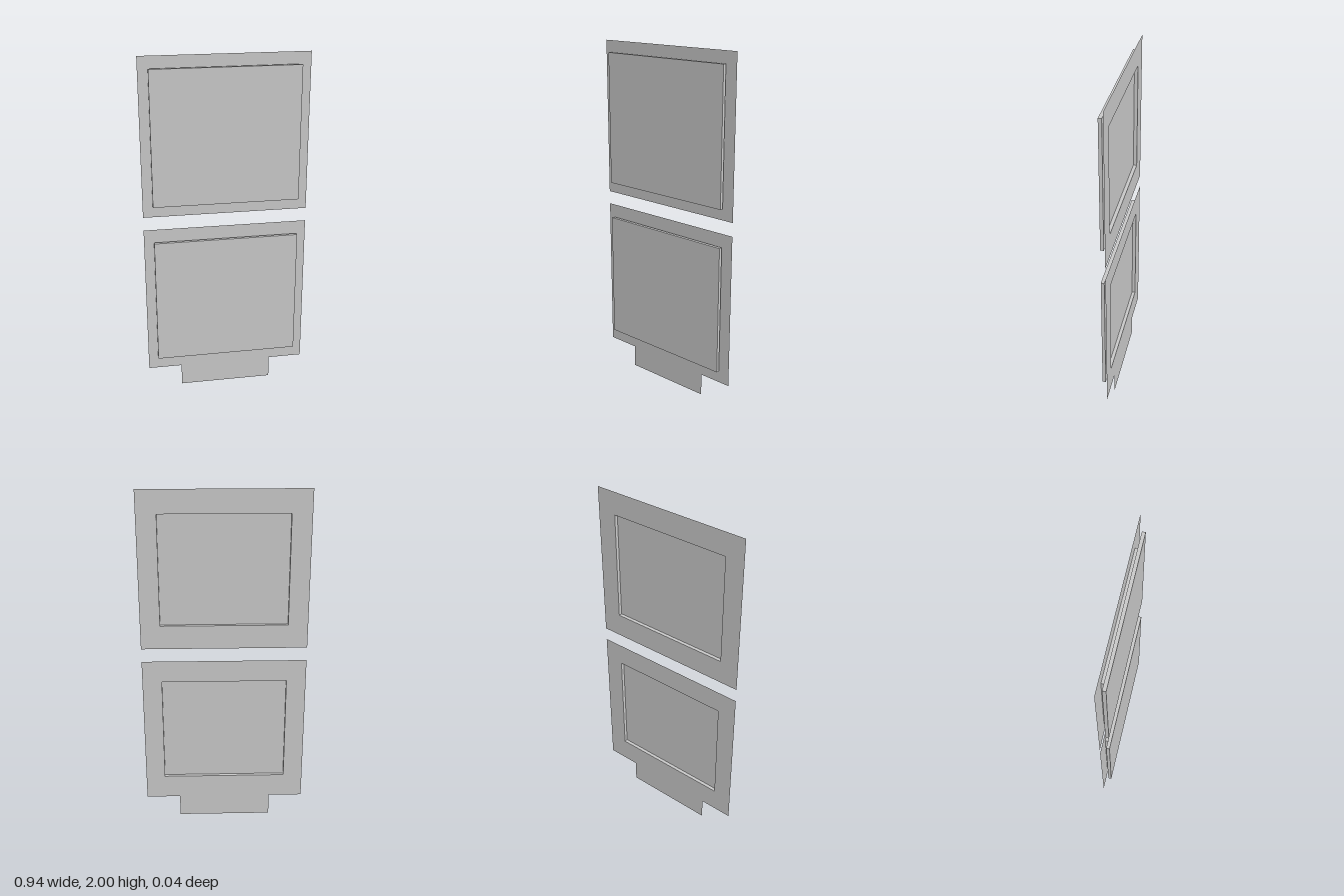
import * as THREE from 'three';

const BACK = -0.02, MID = 0, FRONT = 0.019;

// Closed rectangle outline, centred on x = 0
function rectPath(PathType, halfWidth, y0, y1) {
  const path = new PathType();
  path.moveTo(-halfWidth, y0);
  path.lineTo(halfWidth, y0);
  path.lineTo(halfWidth, y1);
  path.lineTo(-halfWidth, y1);
  path.closePath();
  return path;
}

export function createModel() {
  const group = new THREE.Group();
  const grey = new THREE.MeshStandardMaterial({ color: 0xc8c8c8, side: THREE.DoubleSide });
  grey.name = 'lightGrey';

  function add(parent, name, geometry, x = 0, y = 0, z = 0) {
    const mesh = new THREE.Mesh(geometry, grey);
    mesh.name = name;
    mesh.position.set(x, y, z);
    parent.add(mesh);
  }

  function addPanel(name, sheet, [slabY0, slabY1], [openY0, openY1]) {
    const panel = new THREE.Group();
    panel.name = name;
    group.add(panel);

    // Paper-thin sheet with a rectangular opening
    const openHalf = 0.357;
    sheet.holes.push(rectPath(THREE.Path, openHalf, openY0, openY1));
    add(panel, 'backSheet', new THREE.ShapeGeometry(sheet), 0, 0, BACK);

    // Raised slab in front, whose back is the floor of the recess
    add(panel, 'frontSlab', new THREE.BoxGeometry(0.826, slabY1 - slabY0, FRONT - MID),
      0, (slabY0 + slabY1) / 2, (FRONT + MID) / 2);

    // Four thin walls lining the recess
    const depth = MID - BACK, z = (MID + BACK) / 2;
    for (const side of [-1, 1]) {
      const wall = new THREE.PlaneGeometry(depth, openY1 - openY0).rotateY(Math.PI / 2);
      add(panel, 'recessSide', wall, side * openHalf, (openY0 + openY1) / 2, z);
    }
    for (const y of [openY0, openY1]) {
      const wall = new THREE.PlaneGeometry(openHalf * 2, depth).rotateX(Math.PI / 2);
      add(panel, 'recessEdge', wall, 0, y, z);
    }
  }

  // Upper panel
  addPanel('upperPanel', rectPath(THREE.Shape, 0.468, 1.104, 2), [1.174, 1.936], [1.241, 1.868]);

  // Lower panel with a tab at its foot
  const lower = new THREE.Shape([
    [-0.272, 0], [0.27, 0], [0.27, 0.13], [0.468, 0.13],
    [0.468, 1.027], [-0.468, 1.027], [-0.468, 0.13], [-0.272, 0.13],
  ].map(([x, y]) => new THREE.Vector2(x, y)));
  addPanel('lowerPanel', lower, [0.213, 0.957], [0.272, 0.899]);

  return group;
}
